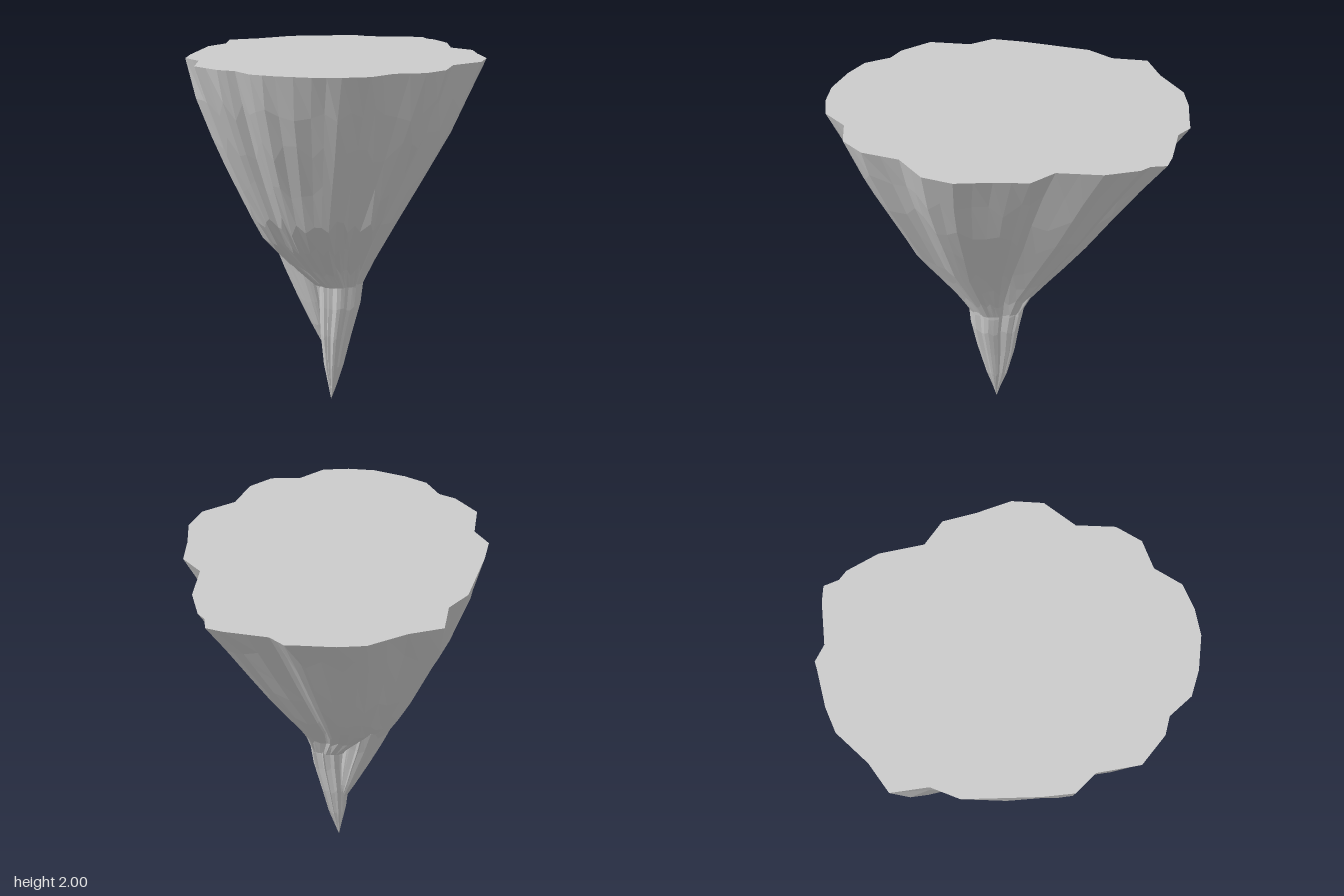
import * as THREE from 'three';

// Outline of the flat top as [x, z]
const RIM = [
  [-0.04, -0.99], [0.05, -0.94], [0.29, -0.95], [0.38, -0.94], [0.41, -0.86], [0.46, -0.82],
  [0.55, -0.65], [0.59, -0.41], [0.72, -0.31], [0.76, -0.13], [0.82, 0.06], [0.80, 0.23],
  [0.66, 0.39], [0.64, 0.60], [0.55, 0.73], [0.39, 0.78], [0.29, 0.92], [0.15, 0.97],
  [0, 0.99], [-0.19, 0.96], [-0.33, 0.91], [-0.43, 0.79], [-0.53, 0.76], [-0.68, 0.63],
  [-0.71, 0.40], [-0.81, 0.29], [-0.82, 0.12], [-0.81, -0.28], [-0.74, -0.43], [-0.76, -0.63],
  [-0.60, -0.73], [-0.43, -0.89], [-0.29, -0.94], [-0.08, -0.98],
];

// Extents at each height: [y, xMin, xMax, zMin, zMax]
const BODY = [
  [2.00, -0.82, 0.82, -0.99, 0.99],
  [1.78, -0.77, 0.73, -0.84, 0.91],
  [1.57, -0.69, 0.63, -0.70, 0.81],
  [1.34, -0.59, 0.50, -0.55, 0.69],
  [1.12, -0.48, 0.37, -0.395, 0.585],
  [0.97, -0.41, 0.285, -0.28, 0.45],
  [0.82, -0.27, 0.20, -0.16, 0.31],
  [0.71, -0.14, 0.145, -0.105, 0.23],
];
const SPIKE = [
  [0.82, -0.12, 0.15, -0.10, 0.23],
  [0.70, -0.11, 0.145, -0.105, 0.22],
  [0.58, -0.105, 0.13, -0.08, 0.21],
  [0.40, -0.10, 0.08, -0.05, 0.18],
  [0.20, -0.08, 0.03, 0.00, 0.13],
  [0.08, -0.055, -0.01, 0.045, 0.09],
  [0.00, -0.04, -0.04, 0.07, 0.07],
];
const SPUR = [
  [1.14, -0.34, -0.10, -0.12, 0.14],
  [1.00, -0.42, -0.08, -0.18, 0.20],
  [0.95, -0.39, -0.07, -0.18, 0.20],
  [0.78, -0.32, -0.06, -0.12, 0.16],
  [0.60, -0.235, -0.05, -0.07, 0.13],
  [0.45, -0.16, -0.05, -0.03, 0.10],
  [0.34, -0.10, -0.05, 0.01, 0.06],
];

function seeded(seed) {
  return () => {
    seed = (seed * 16807) % 2147483647;
    return seed / 2147483647;
  };
}

// Extents part of the way from one level to the next
const between = (a, b, t) => a.map((value, i) => value + (b[i] - value) * t);

// Loft the rim outline through the levels, with staggered facets and grooves
function loft(levels, roughness, stagger, seed, split) {
  const random = seeded(seed);
  const columns = [];
  RIM.forEach((p, i) => {
    const q = RIM[(i + 1) % RIM.length];
    for (let k = 0; k < split; k++) {
      const [x, z] = between(p, q, k / split);
      columns.push({ u: x / 0.82, v: z / 0.99, groove: random() * roughness });
    }
  });
  const n = columns.length;
  const positions = [];
  const indices = [];
  levels.forEach((level, j) => {
    const inner = j > 0 && j < levels.length - 1;
    for (const c of columns) {
      const s = inner ? 1.01 - c.groove - random() * roughness * 0.15 : 1;
      const shift = inner ? (random() - 0.5) * 2 * stagger : 0;
      const neighbour = levels[inner ? j + Math.sign(shift) : j];
      const [y, x0, x1, z0, z1] = between(level, neighbour, Math.abs(shift));
      positions.push(
        (x0 + x1) / 2 + c.u * s * (x1 - x0) / 2,
        y,
        (z0 + z1) / 2 + c.v * s * (z1 - z0) / 2,
      );
    }
    if (j === 0) return;
    for (let i = 0; i < n; i++) {
      const a = (j - 1) * n + i, b = (j - 1) * n + (i + 1) % n;
      indices.push(a, b, a + n, b, b + n, a + n);
    }
  });
  const geometry = new THREE.BufferGeometry();
  geometry.setAttribute('position', new THREE.Float32BufferAttribute(positions, 3));
  geometry.setIndex(indices);
  geometry.computeVertexNormals();
  return geometry;
}

export function createModel() {
  const group = new THREE.Group();
  group.name = 'hangingRock';
  const material = new THREE.MeshStandardMaterial({
    color: 0xcccccc, flatShading: true, side: THREE.DoubleSide,
  });
  const add = (name, geometry) => {
    const mesh = new THREE.Mesh(geometry, material);
    mesh.name = name;
    group.add(mesh);
  };

  // Flat top surface
  const outline = new THREE.Shape(RIM.map(([x, z]) => new THREE.Vector2(x, -z)));
  add('flatTop', new THREE.ShapeGeometry(outline).rotateX(-Math.PI / 2).translate(0, 2, 0));

  // Tapering rock, its lower point and the side spur
  add('rockBody', loft(BODY, 0.035, 0.3, 11, 2));
  add('lowerSpike', loft(SPIKE, 0.1, 0.1, 29, 1));
  add('sideSpur', loft(SPUR, 0.08, 0.1, 47, 1));
  return group;
}
